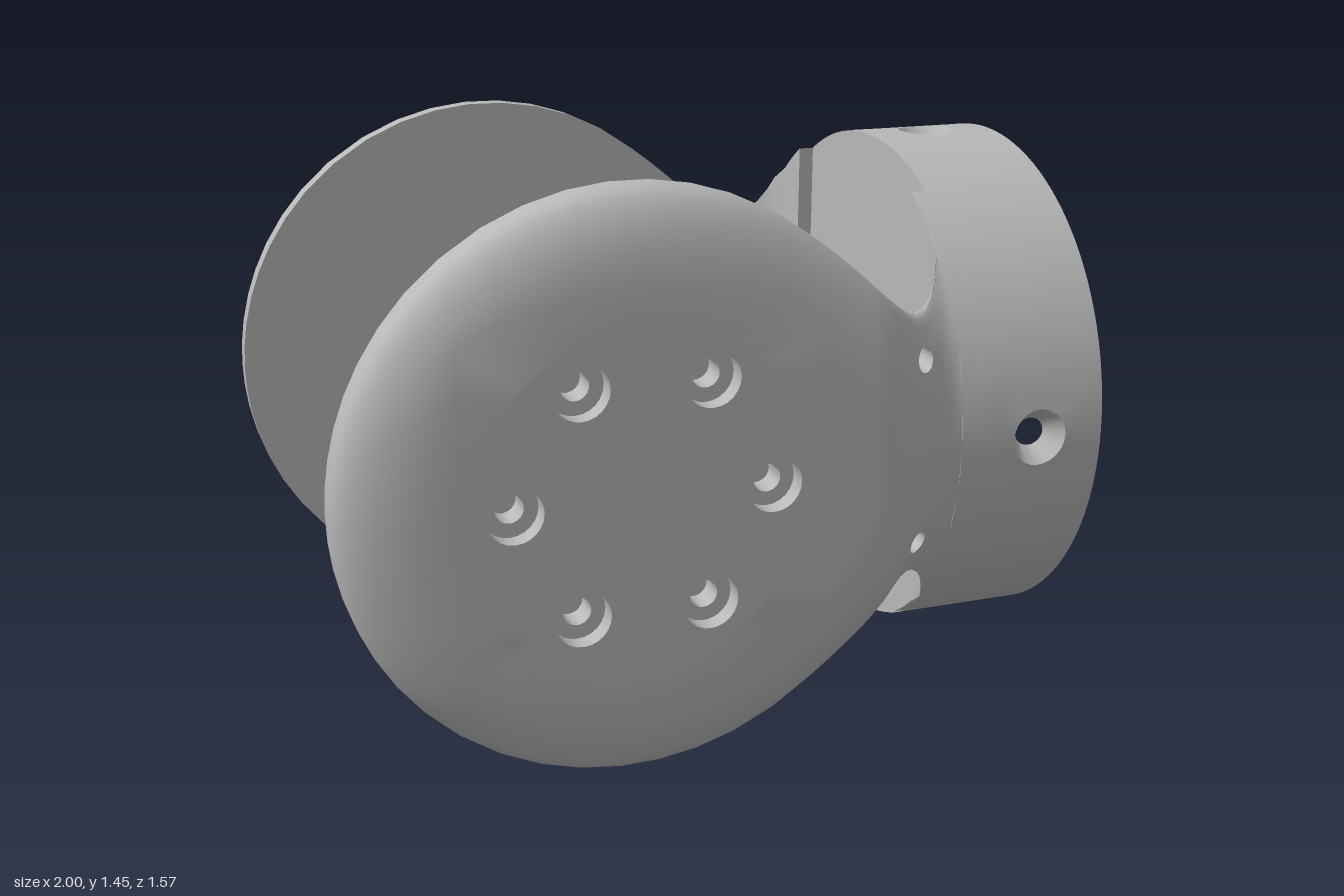
import * as THREE from 'three';
import { toCreasedNormals } from 'three/addons/utils/BufferGeometryUtils.js';

const CY = 0.73;                 // height of the common axis
const DX = -0.275, DR = 0.725;   // paddle centre and radius
const CUP_OUT = 0.685, CUP_IN = 0.63;

const grey = new THREE.MeshStandardMaterial({ color: 0xb8b8b8, side: THREE.DoubleSide });
grey.name = 'grey plastic';

const V2 = (x, y) => new THREE.Vector2(x, y);
const circle = (x, y, r, n = 24) => Array.from({ length: n }, (_, i) =>
  V2(x + r * Math.cos(i / n * 2 * Math.PI), y + r * Math.sin(i / n * 2 * Math.PI)));

function addMesh(parent, name, geometry) {
  const m = new THREE.Mesh(geometry, grey);
  m.name = name;
  parent.add(m);
}

// Collects triangles of curved sheets (with holes) and of tunnel walls.
class Skin {
  constructor() { this.pos = []; }
  tri(a, b, c, flip) {
    if (a.distanceTo(b) < 1e-6 || b.distanceTo(c) < 1e-6 || a.distanceTo(c) < 1e-6) return;
    for (const p of flip ? [a, c, b] : [a, b, c]) this.pos.push(p.x, p.y, p.z);
  }
  // Grid us x vs; each patch {u:[a,b], v:[a,b], hole} is filled around its hole.
  sheet(us, vs, patches, map, flip = false) {
    const inside = (p, u, v) => u > p.u[0] && u < p.u[1] && v > p.v[0] && v < p.v[1];
    for (let i = 0; i < us.length - 1; i++) for (let j = 0; j < vs.length - 1; j++) {
      const [u0, u1, v0, v1] = [us[i], us[i + 1], vs[j], vs[j + 1]];
      if (patches.some(p => inside(p, (u0 + u1) / 2, (v0 + v1) / 2))) continue;
      const a = map(u0, v0), b = map(u1, v0), c = map(u1, v1), d = map(u0, v1);
      this.tri(a, b, c, flip);
      this.tri(a, c, d, flip);
    }
    for (const p of patches) this.patch(us, vs, p, map, flip);
  }
  // Strip between a patch border and its hole, both walked by angle
  patch(us, vs, p, map, flip) {
    const within = (list, [a, b]) => list.filter(t => t > a - 1e-6 && t < b + 1e-6);
    const pu = within(us, p.u), pv = within(vs, p.v);
    const border = [...pu.flatMap(u => [V2(u, pv[0]), V2(u, pv[pv.length - 1])]),
      ...pv.slice(1, -1).flatMap(v => [V2(pu[0], v), V2(pu[pu.length - 1], v)])];
    const mid = p.hole.reduce((s, q) => s.add(q), V2(0, 0)).divideScalar(p.hole.length);
    const walk = pts => {
      const list = pts.map(q => ({
        t: Math.atan2((q.y - mid.y) / (p.v[1] - p.v[0]), (q.x - mid.x) / (p.u[1] - p.u[0])), q: map(q.x, q.y) }));
      list.sort((a, b) => a.t - b.t);
      return [...list, { t: list[0].t + 2 * Math.PI, q: list[0].q }];
    };
    const A = walk(border), B = walk(p.hole);
    for (let i = 0, j = 0; i < A.length - 1 || j < B.length - 1;) {
      if (j === B.length - 1 || (i < A.length - 1 && A[i + 1].t < B[j + 1].t)) {
        this.tri(A[i].q, A[i + 1].q, B[j].q, flip);
        i++;
      } else {
        this.tri(B[j].q, A[i].q, B[j + 1].q, flip);
        j++;
      }
    }
  }
  tunnel(A, B, flip = false) {
    A.forEach((a, i) => {
      const k = (i + 1) % A.length;
      this.tri(a, A[k], B[k], flip);
      this.tri(a, B[k], B[i], flip);
    });
  }
  geometry(crease) {
    const g = new THREE.BufferGeometry();
    g.setAttribute('position', new THREE.Float32BufferAttribute(this.pos, 3));
    return toCreasedNormals(g, crease);
  }
}

// Half height of the arm: round paddle, narrow neck, flare into the cup
const neck = new THREE.CubicInterpolant(
  [0.09, 0.15, 0.27, 0.4, 0.48, 0.54, 0.58, 0.6], [0.626, 0.587, 0.495, 0.385, 0.342, 0.37, 0.44, 0.515], 1, [0]);
const halfHeight = x => x < 0.15 ? Math.sqrt(Math.max(0, DR * DR - (x - DX) ** 2)) : neck.evaluate(x)[0];
const innerZ = x => x < 0.42 ? 0.63 : 0.45 + 0.18 * Math.sqrt(Math.max(0, 1 - ((x - 0.42) / 0.18) ** 2));
const filletX = z => 0.42 + 0.18 * Math.sqrt(1 - ((z - 0.45) / 0.18) ** 2);

function outerZ(x, y, dome) {
  const r = Math.hypot(x - DX, y);
  const d = x < 0.15 ? DR - r : 0.85 * (halfHeight(x) - Math.abs(y));
  const k = 1 - THREE.MathUtils.clamp(d / 0.22, 0, 1);
  const disc = 0.78 - 0.1 * (1 - Math.sqrt(1 - k * k)) + dome * Math.max(0, 1 - r * r * 2);
  const cyl = Math.sqrt(Math.max(0, CUP_OUT ** 2 - y * y));
  const z = THREE.MathUtils.lerp(disc, cyl, THREE.MathUtils.smoothstep(x, 0.34, 0.59));
  return Math.max(z, innerZ(x) + 0.002);
}

function armGeometry(side) {
  const front = side > 0, skin = new Skin();
  const xs = [-1, -0.997, -0.988, -0.97, -0.945, -0.91, -0.86, -0.8, -0.72, -0.62, -0.52, -0.42, -0.32, -0.22,
    -0.12, -0.02, 0.08, 0.18, 0.24, 0.3, 0.34, 0.38, 0.42, 0.45, 0.48, 0.51, 0.54, 0.56, 0.58, 0.59, 0.6];
  const half = [0.25, 0.5, 0.6, 0.7, 0.8, 0.86, 0.9, 0.94, 0.97, 0.99, 1];
  const ss = [...half.map(s => -s).reverse(), 0, ...half];
  const inner = (x, s) => new THREE.Vector3(x, CY + s * halfHeight(x), side * innerZ(x));
  const outer = (x, s) => {
    if (Math.abs(s) > 1) return inner(x, Math.sign(s));   // side wall
    const y = s * halfHeight(x);
    return new THREE.Vector3(x, CY + y, side * outerZ(x, y, front ? 0 : 0.01));
  };
  const toS = pts => pts.map(p => V2(p.x, p.y / halfHeight(p.x)));
  const neckHoles = [-1, 1].map(m => ({
    u: [0.42, 0.54], v: m > 0 ? [0.5, 0.9] : [-0.9, -0.5], hole: toS(circle(0.48, m * 0.24, 0.03, 16)) }));
  // Screw passages leaving through the inner fillet
  const passages = [-1, 1].map(m => ({
    u: [0.56, 0.6], v: m > 0 ? [0.25, 0.7] : [-0.7, -0.25],
    hole: toS(circle(0.5, m * 0.24, 0.036, 16).map(p => V2(filletX(p.x), p.y))) }));
  const disc = { u: [-0.72, 0.18], v: [-0.7, 0.7], hole: toS(circle(DX, 0, 0.422, 64)) };
  // Cable window cutting into the back fillet
  const notch = { u: [0.56, 0.6], v: [-0.25, 0.25], hole: toS(
    [[0.5, -0.12], [0.451, -0.12], [0.451, 0.12], [0.5, 0.12]].map(([z, y]) => V2(filletX(z), y))) };

  skin.sheet(xs, [-1.1, ...ss, 1.1], front ? [...neckHoles, disc] : neckHoles, outer, !front);
  skin.sheet(xs, ss, [...neckHoles, ...passages, ...(front ? [] : [notch])], inner, front);
  for (const { hole } of neckHoles)
    skin.tunnel(hole.map(p => outer(p.x, p.y)), hole.map(p => inner(p.x, p.y)), !front);
  return skin.geometry(0.6);
}

// Extrudes a shape drawn in (-z, y) along +x
function slabX(shape, x, depth) {
  const g = new THREE.ExtrudeGeometry(shape, { depth, bevelEnabled: false, curveSegments: 40 });
  return toCreasedNormals(g.rotateY(Math.PI / 2).translate(x, CY, 0), 0.5);
}

const discShape = r => new THREE.Shape().absarc(0, 0, r, 0, Math.PI * 2);
const cylinderZ = (r, z0, z1, x) =>
  new THREE.CylinderGeometry(r, r, z1 - z0, 72).rotateX(Math.PI / 2).translate(x, CY, (z0 + z1) / 2);

function cupGeometry() {
  const skin = new Skin(), step = Math.PI / 60, v = [0.7, 0.97];
  const us = Array.from({ length: 121 }, (_, i) => (i - 10) * step);
  const at = R => (u, x) => new THREE.Vector3(x, CY + R * Math.cos(u), -R * Math.sin(u));
  const bolt = (i, r) => ({ u: [(i - 4) * step, (i + 4) * step], v,
    hole: circle(0, 0, r).map(p => V2(i * step + p.x / CUP_OUT, 0.82 + p.y)) });
  // Rounded cable slot, upper back
  const slot = { u: [8 * step, 22 * step], v, hole: circle(0, 0, 0.1, 40).map(p =>
    V2(Math.PI / 4 + (p.x + Math.sign(p.x) * 0.092) / CUP_OUT, 0.84 + p.y)) };
  const spots = [0, 30, 60, 90];
  const outs = [...spots.map(i => bolt(i, 0.075)), slot], ins = [...spots.map(i => bolt(i, 0.04)), slot];
  const out = at(CUP_OUT), inn = at(CUP_IN);
  skin.sheet(us, [0.64, 0.7, 0.97, 1], outs, out, true);
  skin.sheet(us, [0.7, 0.97, 1], ins, inn);
  skin.sheet(us, [0, 1], [], (u, t) => at(CUP_IN + t * (CUP_OUT - CUP_IN))(u, 1), true);
  outs.forEach((o, k) => skin.tunnel(
    o.hole.map(p => out(p.x, p.y)), ins[k].hole.map(p => inn(p.x, p.y)), true));
  return skin.geometry(0.5);
}

export function createModel() {
  const model = new THREE.Group();
  model.name = 'forkBracket';

  addMesh(model, 'frontArm', armGeometry(1));
  addMesh(model, 'backArm', armGeometry(-1));

  // Cup with its floor, countersunk holes and cable window
  addMesh(model, 'cupWall', cupGeometry());
  for (const [name, x, depth, r] of [['cupFloorBack', 0.64, 0.07, 0.037], ['cupFloorFront', 0.71, 0.03, 0.075]]) {
    const floor = discShape(0.684);
    for (const a of [-0.5, 0.5]) for (const b of [-0.24, 0.24]) floor.holes.push(new THREE.Path(circle(a, b, r)));
    floor.holes.push(new THREE.Path([V2(0.23, -0.12), V2(0.615, -0.12), V2(0.615, 0.12), V2(0.23, 0.12)]));
    addMesh(model, name, slabX(floor, x, depth));
  }
  for (const z of [-0.5, 0.5]) for (const y of [-0.24, 0.24])
    addMesh(model, 'countersink', new THREE.CylinderGeometry(0.075, 0.037, 0.03, 24, 1, true)
      .rotateZ(-Math.PI / 2).translate(0.725, CY + y, z));

  // Raised segments where the arms meet the cup; the back one is notched
  const half = Math.acos(0.35 / CUP_OUT);
  for (const m of [-1, 1]) {
    const mid = m > 0 ? 0 : Math.PI;
    const seg = new THREE.Shape().absarc(0, 0, CUP_OUT - 0.001, mid - half, mid + half);
    if (m > 0) for (const [a, b] of [[0.35, 0.12], [0.615, 0.12], [0.615, -0.12], [0.35, -0.12]]) seg.lineTo(a, b);
    for (const b of [-0.24, 0.24]) seg.holes.push(new THREE.Path(circle(m * 0.5, b, 0.037)));
    addMesh(model, m > 0 ? 'backArmRoot' : 'frontArmRoot', slabX(seg, 0.598, 0.043));
  }

  // Round coupling set in the front arm
  addMesh(model, 'couplingNeck', cylinderZ(0.412, 0.58, 0.65, DX));
  addMesh(model, 'couplingDisc', cylinderZ(0.44, 0.42, 0.59, DX));
  const face = discShape(0.42);
  const screws = Array.from({ length: 6 }, (_, i) => V2(0.32 * Math.cos(i * Math.PI / 3), 0.32 * Math.sin(i * Math.PI / 3)));
  for (const s of screws) face.holes.push(new THREE.Path(circle(s.x, s.y, 0.07)));
  addMesh(model, 'couplingFace', new THREE.ShapeGeometry(face, 40).translate(DX, CY, 0.78));
  const bore = [[0, -0.12], [0.035, -0.12], [0.035, -0.05], [0.07, -0.05], [0.07, 0]].map(p => V2(...p));
  for (const s of screws) {
    const g = new THREE.LatheGeometry(bore, 24).rotateX(Math.PI / 2).translate(DX + s.x, CY + s.y, 0.78);
    addMesh(model, 'screwBore', toCreasedNormals(g, 0.6));
  }

  // Hollow pivot hub on the back arm
  const keyway = new THREE.Path().absarc(0.05, 0, 0.07, -Math.PI / 2, Math.PI / 2).absarc(-0.05, 0, 0.07, Math.PI / 2, Math.PI * 1.5);
  for (const [name, r, z, depth] of [['hubFlange', 0.173, -0.635, 0.02], ['hub', 0.153, -0.617, 0.107]]) {
    const ring = discShape(r);
    ring.holes.push(keyway);
    const g = new THREE.ExtrudeGeometry(ring, { depth, bevelEnabled: false, curveSegments: 20 });
    addMesh(model, name, toCreasedNormals(g.translate(-0.298, CY, z), 0.5));
  }
  return model;
}
